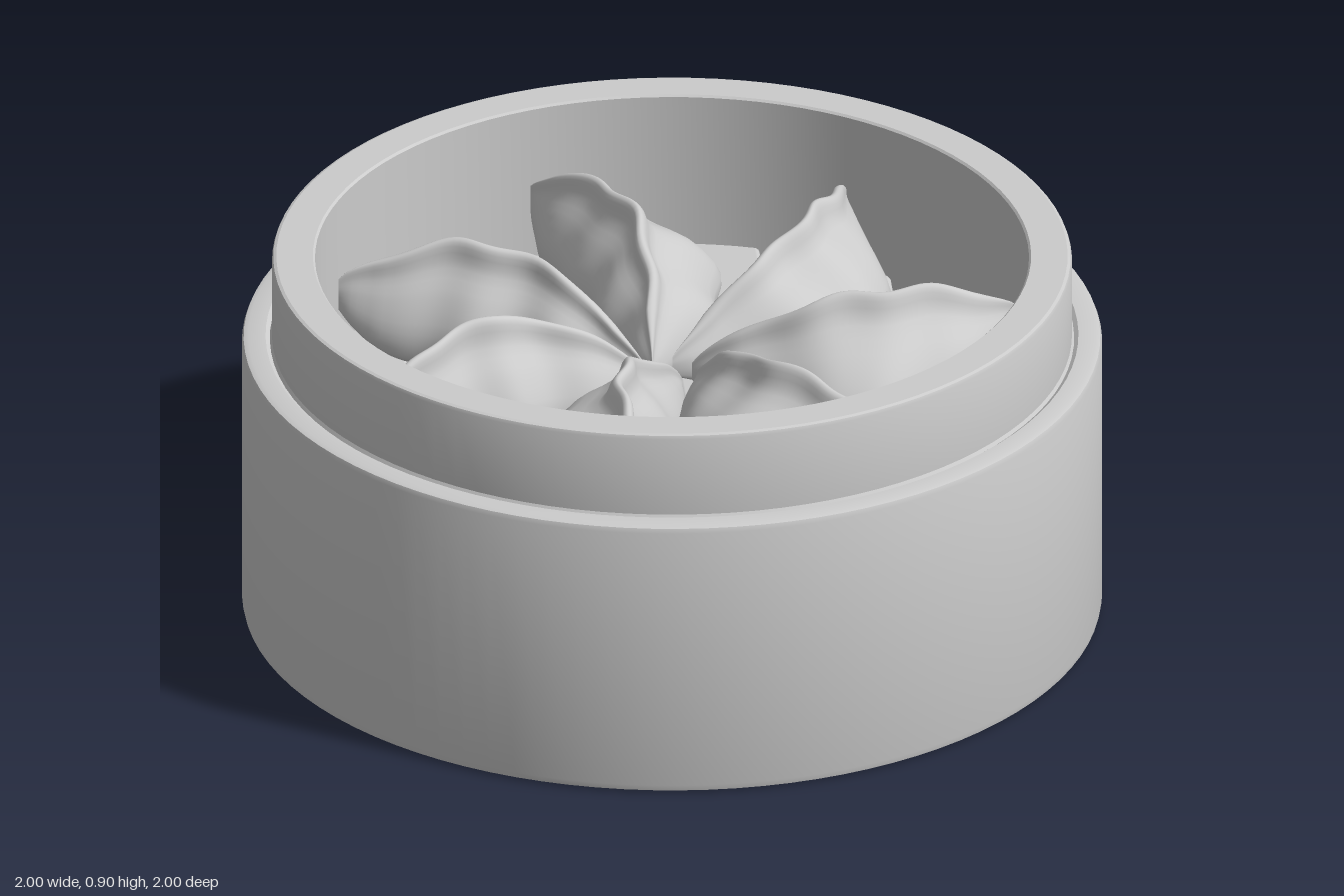
import * as THREE from 'three';
import { toCreasedNormals } from 'three/addons/utils/BufferGeometryUtils.js';
import { RoundedBoxGeometry } from 'three/addons/geometries/RoundedBoxGeometry.js';

const material = new THREE.MeshStandardMaterial({ color: 0xcccccc });
const FLOOR = 0.51;

function addMesh(parent, geometry, name) {
  const mesh = new THREE.Mesh(geometry, material);
  mesh.name = name;
  parent.add(mesh);
  return mesh;
}

// Stepped round wall with a closed base, turned in one piece
function basketGeometry() {
  const profile = [
    [0, 0], [0.985, 0], [0.997, 0.006], [1, 0.02], [1, 0.675], [0.996, 0.686], [0.985, 0.69],
    [0.945, 0.69], [0.935, 0.682], [0.93, 0.69], [0.93, 0.885], [0.927, 0.893], [0.92, 0.896],
    [0.835, 0.896], [0.83, 0.891], [0.83, 0.03], [0, 0.03],
  ].map(([r, y]) => new THREE.Vector2(r, y));
  return toCreasedNormals(new THREE.LatheGeometry(profile, 96), 0.4);
}

// Half-moon dumpling: closed cross-sections swept from the inner tip to the outer tip.
// Local x runs outwards, z is the side the belly bulges to.
function dumplingGeometry(seed) {
  const rings = 48, sides = 40;
  const positions = [], indices = [];
  for (let i = 0; i <= rings; i++) {
    const t = i / rings;
    const s = Math.sin(Math.PI * t);
    const full = Math.pow(s, 0.85);
    const end = Math.min(1, 8 * t, 8 * (1 - t));
    const x = 0.05 + 0.76 * t;
    // Pleated crest line and the heights below and above it
    const ripple = Math.sin(t * 24 + seed) * 0.009 * s;
    const crest = -0.03 + 0.1 * s + ripple;
    const bottom = FLOOR - 0.005 + 0.05 * (1 - t) ** 8 + 0.13 * t ** 8;
    const top = 0.6 + 0.11 * t + 0.16 * Math.pow(s, 0.8) + 0.006 * Math.sin(t * 19 + seed * 2);
    const fold = 1 + 0.07 * Math.sin(t * 17 + seed * 1.7);
    const thin = 0.012 * end;
    const belly = 0.2 * full * fold;
    const back = 0.1 * full * (2 - fold);
    const section = new THREE.CatmullRomCurve3([
      [crest, 1], [crest + thin, 0.97], [crest + thin + belly * 0.12, 0.8],
      [crest + thin + belly * 0.65, 0.58], [crest + thin + belly, 0.26],
      [crest + thin + belly * 0.8, 0.02], [crest, 0], [crest - thin - back * 0.8, 0.03],
      [crest - thin - back, 0.28], [crest - thin - back * 0.6, 0.58],
      [crest - thin - back * 0.1, 0.8], [crest - thin, 0.97],
    ].map(([z, h]) => new THREE.Vector3(x, bottom + (top - bottom) * h, z)), true, 'centripetal');
    for (let j = 0; j < sides; j++) positions.push(...section.getPoint(j / sides).toArray());
  }
  for (let i = 0; i < rings; i++) {
    for (let j = 0; j < sides; j++) {
      const k = (j + 1) % sides;
      const a = i * sides + j, b = i * sides + k;
      const c = a + sides, d = b + sides;
      indices.push(a, b, c, b, d, c);
    }
  }
  const geometry = new THREE.BufferGeometry();
  geometry.setAttribute('position', new THREE.Float32BufferAttribute(positions, 3));
  geometry.setIndex(indices);
  geometry.computeVertexNormals();
  return geometry;
}

export function createModel() {
  const model = new THREE.Group();
  model.name = 'dumplingSteamer';

  addMesh(model, basketGeometry(), 'basket');

  // Floor slats, whose far corners just break through the wall
  const slats = new THREE.Group();
  slats.name = 'floorSlats';
  model.add(slats);
  const slatRows = [[0.148, 0.93], [0.44, 0.838], [0.715, 0.558]];
  for (const side of [-1, 1]) {
    for (const [x, reach] of slatRows) {
      const front = reach - 0.015;
      const slat = addMesh(slats, new RoundedBoxGeometry(0.245, 0.095, reach + front, 3, 0.012), 'slat');
      slat.position.set(side * x, FLOOR - 0.0475, (front - reach) / 2);
    }
  }

  // Ring of dumplings swirling around the centre
  const dumplings = new THREE.Group();
  dumplings.name = 'dumplings';
  model.add(dumplings);
  [1, 53, 107, 156, 205, 259, 306].forEach((angle, i) => {
    const dumpling = addMesh(dumplings, dumplingGeometry(i * 1.3), 'dumpling');
    dumpling.rotation.y = THREE.MathUtils.degToRad(angle);
  });

  return model;
}
